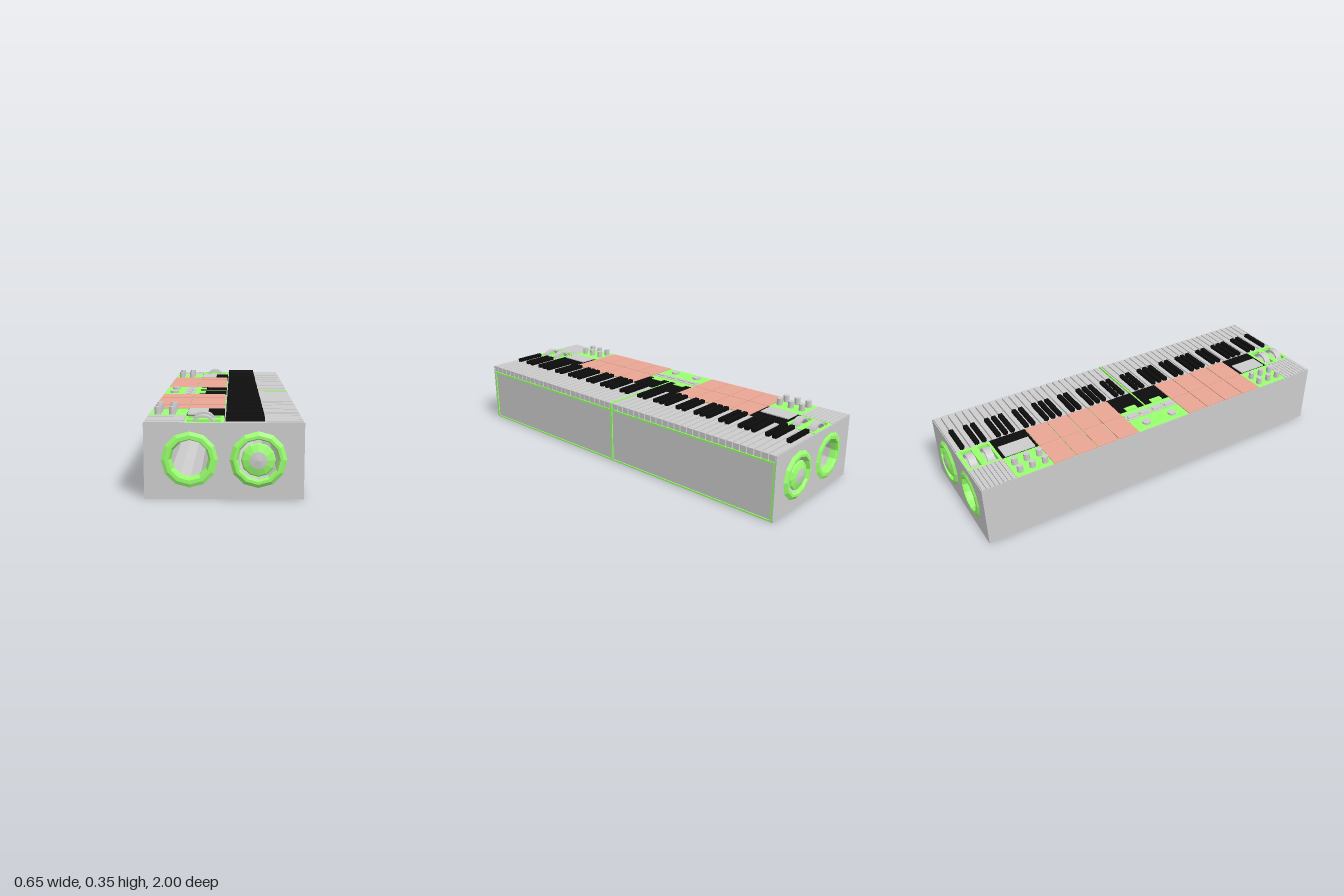
import * as THREE from 'three';

const mat = (color) => new THREE.MeshStandardMaterial({ color, flatShading: true, side: THREE.DoubleSide });

export function createModel() {
  const root = new THREE.Group();
  const grey = mat(0xcccccc), green = mat(0x99ff6e), pink = mat(0xe8a594), black = mat(0x0c0c0c);

  const add = (name, geo, material, x = 0, y = 0, z = 0) => {
    const m = new THREE.Mesh(geo, material);
    m.name = name;
    m.position.set(x, y, z);
    root.add(m);
    return m;
  };
  // Box given by its limits
  const box = (name, material, x0, x1, y0, y1, z0, z1) =>
    add(name, new THREE.BoxGeometry(x1 - x0, y1 - y0, z1 - z0), material, (x0 + x1) / 2, (y0 + y1) / 2, (z0 + z1) / 2);
  // Same box at both ends of the instrument
  const pair = (name, material, x0, x1, y0, y1, z0, z1) => {
    box(name, material, x0, x1, y0, y1, z0, z1);
    box(name, material, x0, x1, y0, y1, -z1, -z0);
  };
  const outline = (pts) => new THREE.Shape(pts.map(([x, y]) => new THREE.Vector2(x, y)));
  const rect = (x0, x1, y0, y1) => outline([[x0, y0], [x1, y0], [x1, y1], [x0, y1]]);
  const extrude = (shape, depth) => new THREE.ExtrudeGeometry(shape, { depth, bevelEnabled: false });

  const portX = -0.14, coneX = 0.14, speakerY = 0.165;
  const cutSpeakers = (shape) => {
    for (const cx of [portX, coneX]) {
      const hole = [];
      for (let i = 0; i < 12; i++) {
        const a = (i * Math.PI) / 6;
        hole.push(new THREE.Vector2(cx + 0.086 * Math.cos(a), speakerY + 0.086 * Math.sin(a)));
      }
      shape.holes.push(new THREE.Path(hole));
    }
    return shape;
  };

  // Case with open speaker tunnels, end plates and rear rail
  const caseShape = outline([[-0.327, 0], [0.321, 0], [0.321, 0.28], [0, 0.28], [0, 0.295], [-0.327, 0.295]]);
  add('case', extrude(cutSpeakers(caseShape), 1.95), grey, 0, 0, -0.975);
  for (const z of [0.975, -0.979])
    add('endPlate', extrude(cutSpeakers(rect(-0.327, 0.327, 0, 0.317)), 0.004), grey, 0, 0, z);
  box('rearRail', grey, -0.327, -0.325, 0.295, 0.317, -0.975, 0.975);

  // Green frame around the two long front panels
  pair('frameBottom', green, 0.321, 0.326, 0.001, 0.009, 0.006, 0.975);
  pair('frameTop', green, 0.321, 0.326, 0.275, 0.285, 0.006, 0.975);
  pair('framePost', green, 0.321, 0.3265, 0.009, 0.275, 0.965, 0.975);
  box('centrePost', green, 0.321, 0.327, 0.001, 0.316, -0.006, 0.006);
  box('centreDivider', green, -0.14, 0.325, 0.28, 0.319, -0.004, 0.004);
  pair('keyBed', green, 0, 0.321, 0.28, 0.285, 0.004, 0.975);

  // Keys: 26 white per half, black keys mirrored about the middle
  const pitch = 0.0372, start = 0.975;
  const blackAt = [1, 3, 4, 6, 7, 8, 10, 11, 13, 14, 15, 17, 18, 20, 21, 22, 24, 25];
  for (let i = 0; i < 26; i++) {
    const z = start - i * pitch;
    pair('whiteKey', grey, 0.002, 0.325, 0.287, 0.317, z - pitch + 0.003, z - 0.003);
  }
  for (const i of blackAt) {
    const z = start - i * pitch;
    pair('blackKey', black, 0.007, 0.167, 0.3, 0.334, z - 0.011, z + 0.011);
  }

  // Drum pads, two rows of four per half
  pair('padBase', green, -0.325, 0, 0.295, 0.316, 0.15, 0.62);
  for (let i = 0; i < 4; i++) {
    const z = 0.15 + i * 0.1175;
    for (const x of [-0.325, -0.163])
      pair('pad', pink, x + 0.001, x + 0.16, 0.31, 0.32, z + 0.002, z + 0.1155);
  }

  // Centre control panel
  box('centrePanel', green, -0.325, -0.14, 0.295, 0.318, -0.15, 0.15);
  pair('centreScreen', black, -0.14, 0, 0.295, 0.318, 0.004, 0.15);
  pair('screenTab', green, -0.14, -0.11, 0.31, 0.322, 0.045, 0.11);
  for (const z of [0.004, 0.078]) {
    pair('sliderPlate', grey, -0.218, -0.168, 0.31, 0.32, z, z + 0.068);
    pair('sliderCap', grey, -0.205, -0.185, 0.32, 0.325, z + 0.008, z + 0.06);
  }

  // Knob panels and display screens
  pair('knobPanel', green, -0.325, -0.163, 0.295, 0.318, 0.62, 0.807);
  pair('screenPanel', black, -0.163, 0, 0.295, 0.318, 0.62, 0.807);
  pair('screen', grey, -0.16, -0.072, 0.31, 0.323, 0.635, 0.792);
  const knob = new THREE.CylinderGeometry(0.015, 0.015, 0.04, 12);
  const button = new THREE.CylinderGeometry(0.022, 0.022, 0.015, 12);

  // Vent slats
  for (let i = 0; i < 8; i++) {
    const z = 0.807 + i * 0.021;
    pair('ventSlat', grey, -0.325, -0.164, 0.295, 0.319, z + 0.0015, z + 0.0195);
  }

  // Wheel panel with two wells, and the ring shaped control wheels
  const wheelPanel = rect(-0.163, 0, -0.975, -0.807);
  for (const z of [0.85, 0.935])
    wheelPanel.holes.push(rect(-0.152, -0.015, -z - 0.026, -z + 0.026));
  const wheelPanelGeo = extrude(wheelPanel, 0.023).rotateX(-Math.PI / 2);
  const wheelGeo = new THREE.LatheGeometry(
    [[0.044, -0.018], [0.053, -0.018], [0.053, 0.018], [0.044, 0.018], [0.044, -0.018]].map(([r, y]) => new THREE.Vector2(r, y)), 32
  ).rotateX(Math.PI / 2);

  // Speaker parts: 12 sided lathes along z
  const lathe = (pts) => new THREE.LatheGeometry(pts.map(([r, z]) => new THREE.Vector2(r, z)), 12).rotateX(Math.PI / 2);
  const portRing = lathe([[0.119, 0.978], [0.102, 0.986], [0.086, 0.986], [0.081, 0.975], [0.076, 0.95]]);
  const coneRing = lathe([[0.119, 0.978], [0.102, 0.991], [0.09, 0.991], [0.083, 0.975]]);
  const dome = lathe([[0.071, 0.979], [0.065, 0.986], [0.036, 0.995]]);
  const tip = lathe([[0.036, 0.995], [0, 1]]);

  for (const s of [1, -1]) {
    for (const x of [-0.288, -0.225])
      for (const z of [0.648, 0.712, 0.774]) add('knob', knob, grey, x, 0.332, s * z);
    add('button', button, grey, -0.275, 0.321, s * 0.077);
    add('wheelPanel', wheelPanelGeo, green, 0, 0.295, s > 0 ? 0 : -1.782);
    for (const z of [0.85, 0.935]) add('wheel', wheelGeo, grey, -0.085, 0.29, s * z);
    const parts = [['portRing', portRing, green, portX], ['speakerRing', coneRing, green, coneX],
      ['speakerDome', dome, green, coneX], ['speakerTip', tip, grey, coneX]];
    for (const [name, geo, material, x] of parts)
      add(name, geo, material, x, speakerY).rotation.y = s > 0 ? 0 : Math.PI;
  }
  return root;
}
